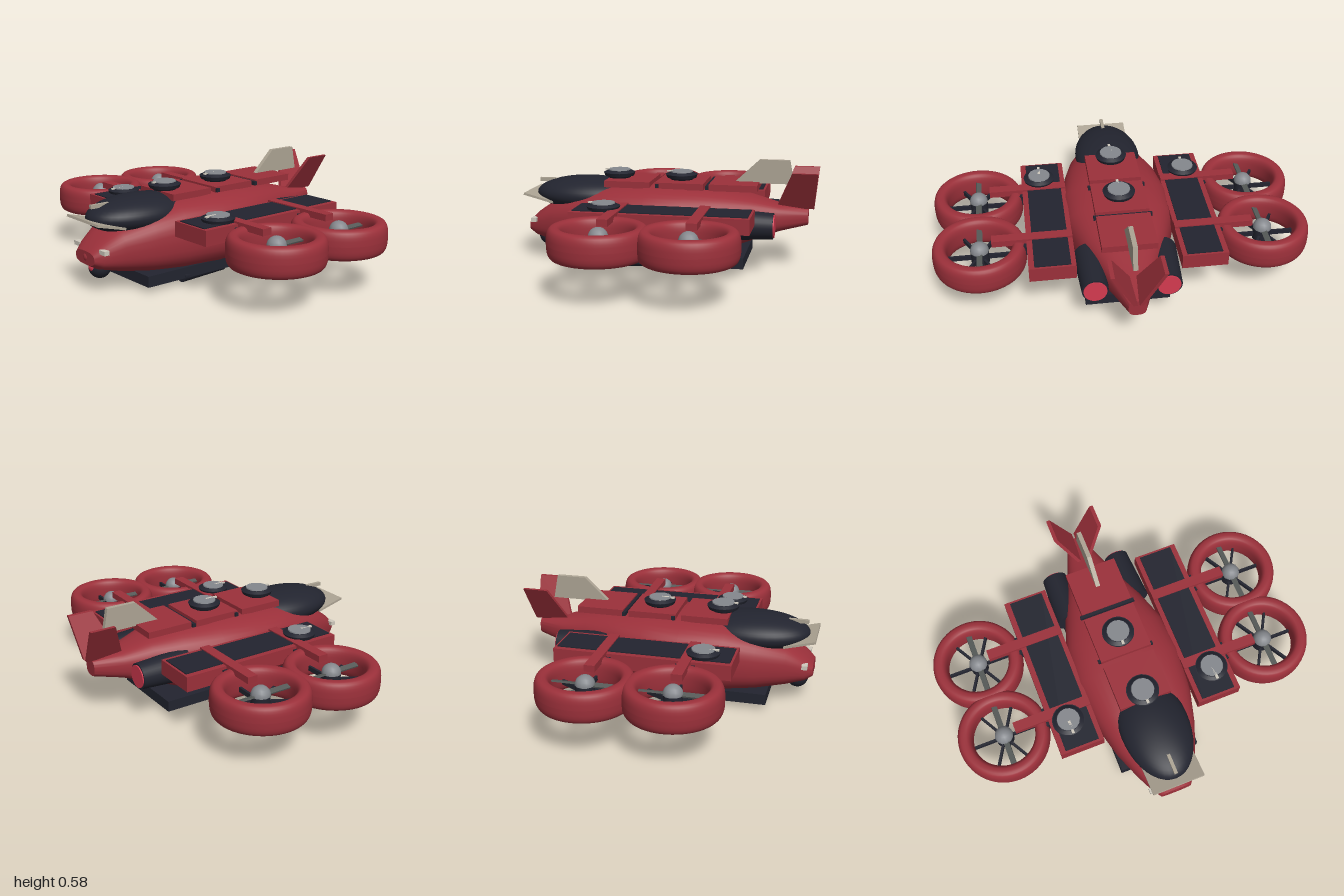
import * as THREE from 'three';
import { toCreasedNormals } from 'three/addons/utils/BufferGeometryUtils.js';

const mat = (name, color, side = THREE.FrontSide) => {
  const m = new THREE.MeshStandardMaterial({ color, side });
  m.name = name;
  return m;
};

export function createModel() {
  const model = new THREE.Group();
  model.name = 'quadFanGunship';
  const red = mat('hullRed', 0x9b303a);
  const dark = mat('darkPanel', 0x22242f);
  const beige = mat('beigeTrim', 0xada494);
  const grey = mat('metalGrey', 0x85888d);
  const steel = mat('bladeSteel', 0x565a58);
  const glow = mat('brightRed', 0xd43a50);
  const lamp = mat('lampWhite', 0xcfc9bd);

  const add = (name, geo, m, x = 0, y = 0, z = 0, parent = model) => {
    const mesh = new THREE.Mesh(geo, m);
    mesh.name = name;
    mesh.position.set(x, y, z);
    parent.add(mesh);
    return mesh;
  };
  const box = (w, h, d) => new THREE.BoxGeometry(w, h, d);
  const cyl = (rt, rb, h, n = 24) => new THREE.CylinderGeometry(rt, rb, h, n);

  // Fuselage: superellipse sections, each [z, half width, bottom, top]
  const stations = [
    [0.79, 0.085, 0.145, 0.215], [0.75, 0.115, 0.12, 0.255], [0.65, 0.165, 0.095, 0.325],
    [0.5, 0.225, 0.07, 0.38], [0.33, 0.27, 0.052, 0.425], [0.1, 0.307, 0.05, 0.437],
    [-0.1, 0.292, 0.055, 0.437], [-0.3, 0.225, 0.09, 0.415], [-0.45, 0.155, 0.145, 0.385],
    [-0.6, 0.1, 0.2, 0.345], [-0.75, 0.045, 0.237, 0.325],
  ];
  const N = 40, pos = [], idx = [];
  const power = (v) => Math.sign(v) * Math.pow(Math.abs(v), 2 / 2.8);
  for (const [z, w, b, t] of stations) {
    for (let j = 0; j < N; j++) {
      const a = (j / N) * Math.PI * 2;
      pos.push(w * power(Math.cos(a)), (b + t) / 2 + ((t - b) / 2) * power(Math.sin(a)), z);
    }
  }
  const last = stations.length - 1;
  for (const i of [0, last]) pos.push(0, (stations[i][2] + stations[i][3]) / 2, stations[i][0]);
  const front = N * stations.length;
  for (let j = 0; j < N; j++) {
    const k = (j + 1) % N;
    for (let i = 0; i < last; i++) {
      const a = i * N + j, b = i * N + k;
      idx.push(a, a + N, b, b, a + N, b + N);
    }
    idx.push(front, j, k, front + 1, last * N + k, last * N + j);
  }
  const hull = new THREE.BufferGeometry();
  hull.setAttribute('position', new THREE.Float32BufferAttribute(pos, 3));
  hull.setIndex(idx);
  add('fuselage', toCreasedNormals(hull, 0.7), red);

  // Canopy, visor plate and probe
  add('canopy', new THREE.SphereGeometry(1, 40, 24).scale(0.185, 0.096, 0.3), dark, 0, 0.366, 0.462);
  add('visorPlate', box(0.285, 0.012, 0.17), beige, 0, 0.35, 0.718).rotation.x = -0.25;
  add('noseProbe', box(0.018, 0.02, 0.18), beige, 0, 0.432, 0.66);

  // Raised spine panels with dark seams
  for (const [z, d] of [[0.215, 0.25], [-0.07, 0.26], [-0.358, 0.255]]) {
    add('spinePanel', box(0.285, 0.035, d), red, 0, 0.442, z);
  }
  for (const z of [0.048, -0.222]) add('spineSeam', box(0.31, 0.02, 0.018), dark, 0, 0.442, z);

  // Round turrets
  const turret = (x, y, z) => {
    const g = new THREE.Group();
    g.name = 'turret';
    g.position.set(x, y, z);
    add('turretFoot', cyl(0.07, 0.06, 0.014), dark, 0, 0.005, 0, g);
    add('turretRing', cyl(0.087, 0.08, 0.018), dark, 0, 0.02, 0, g);
    add('turretTop', cyl(0.064, 0.083, 0.012), dark, 0, 0.035, 0, g);
    add('turretCap', cyl(0.06, 0.062, 0.008, 14), grey, 0, 0.043, 0, g);
    add('turretBarrel', box(0.014, 0.008, 0.07), lamp, 0, 0.043, 0.045, g);
    model.add(g);
  };
  turret(0, 0.459, 0.29);
  turret(0, 0.459, -0.06);

  // Fan duct with rounded rim, hub, stators and blades
  const rim = [];
  for (let i = 0; i <= 28; i++) {
    const a = (i / 28) * Math.PI * 2;
    rim.push(new THREE.Vector2(0.206 + 0.039 * power(Math.cos(a)), 0.077 * power(Math.sin(a))));
  }
  const ductGeo = new THREE.LatheGeometry(rim, 56);
  const fan = (x, z) => {
    const g = new THREE.Group();
    g.name = 'ductedFan';
    g.position.set(x, 0.28, z);
    add('duct', ductGeo, red, 0, 0, 0, g);
    add('fanMotor', cyl(0.048, 0.048, 0.07, 16), dark, 0, -0.015, 0, g);
    add('fanHub', new THREE.SphereGeometry(0.05, 12, 6, 0, Math.PI * 2, 0, Math.PI / 2), grey, 0, 0.02, 0, g);
    for (let i = 0; i < 6; i++) {
      const arm = new THREE.Group();
      arm.name = 'stator';
      arm.rotation.y = (i * Math.PI) / 3;
      add('statorVane', box(0.15, 0.025, 0.013), dark, 0.105, -0.02, 0, arm);
      g.add(arm);
    }
    for (const s of [-1, 1]) {
      add('fanBlade', box(0.03, 0.008, 0.15), steel, 0, 0.022, s * 0.105, g).rotation.z = s * 0.3;
    }
    model.add(g);
  };

  // Plate cut from a side outline given as [z, y] corners
  const sidePlate = (corners, thick) => {
    const shape = new THREE.Shape(corners.map(([z, y]) => new THREE.Vector2(-z, y)));
    return new THREE.ExtrudeGeometry(shape, { depth: thick, bevelEnabled: false })
      .translate(0, 0, -thick / 2).rotateY(Math.PI / 2);
  };
  add('dorsalFin', sidePlate([[-0.35, 0.452], [-0.67, 0.452], [-0.645, 0.58], [-0.485, 0.58]], 0.024), beige);

  for (const s of [-1, 1]) {
    // Side wing with deck, turret and fan arms
    add('wing', box(0.24, 0.08, 0.92), red, s * 0.39, 0.321, -0.03);
    add('wingDeck', box(0.185, 0.008, 0.895), dark, s * 0.388, 0.362, -0.03);
    turret(s * 0.41, 0.352, 0.27);
    for (const z of [0.2, -0.235]) {
      add('fanArm', box(0.42, 0.035, 0.055), red, s * 0.48, 0.354, z);
      add('armBracket', box(0.06, 0.06, 0.1), dark, s * 0.525, 0.315, z);
      fan(s * 0.755, z);
    }

    // Rear engine
    add('engine', cyl(0.068, 0.085, 0.28, 28).rotateX(-Math.PI / 2).rotateY(0), dark, s * 0.188, 0.26, -0.44);
    add('engineExhaust', cyl(0.06, 0.06, 0.012, 28).rotateX(Math.PI / 2), glow, s * 0.188, 0.26, -0.58);

    // Leaning tail fin
    const fin = sidePlate([[-0.58, 0.325], [-0.78, 0.325], [-0.8, 0.53], [-0.665, 0.53]], 0.02);
    const p = fin.attributes.position;
    for (let i = 0; i < p.count; i++) p.setX(i, p.getX(i) + s * (0.015 + 0.55 * (p.getY(i) - 0.325)));
    fin.computeVertexNormals();
    add('tailFin', fin, red);

    // Headlamp and belly pod
    add('headlamp', box(0.05, 0.022, 0.03), lamp, s * 0.115, 0.224, 0.75);
    add('bellyPod', cyl(0.04, 0.03, 0.28, 20).rotateX(Math.PI / 2), dark, s * 0.187, 0.04, 0.19);
  }

  // Belly skid
  add('bellySkid', box(0.45, 0.058, 0.995), dark, 0, 0.059, 0.068);

  // Chin sensor and nose knob
  add('chinSensor', new THREE.SphereGeometry(0.058, 24, 16), dark, 0, 0.115, 0.705);
  add('sensorLens', new THREE.SphereGeometry(0.03, 20, 12), glow, 0, 0.122, 0.738);
  add('noseKnob', new THREE.SphereGeometry(0.03, 20, 12), red, 0, 0.182, 0.766);
  return model;
}
